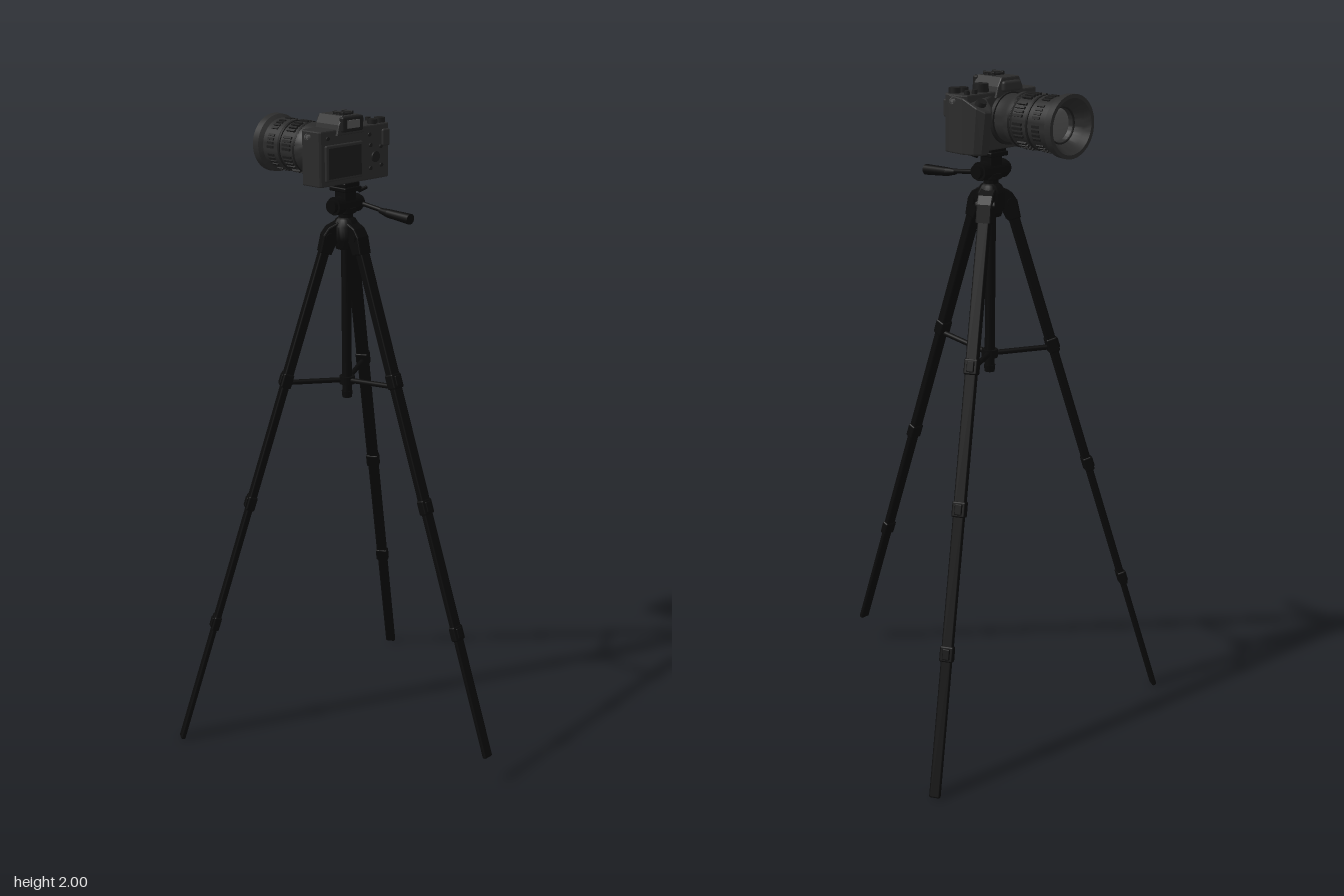
import * as THREE from 'three';
import { toCreasedNormals } from 'three/addons/utils/BufferGeometryUtils.js';
import { RoundedBoxGeometry } from 'three/addons/geometries/RoundedBoxGeometry.js';

const material = (color, side = THREE.FrontSide) => new THREE.MeshStandardMaterial({ color, side });
const black = material(0x0a0a0a);
const body = material(0x2b2b2b);
const dark = material(0x1c1c1c);
const glass = material(0x555555);
const AXIS = -0.15; // z of the centre column

function add(parent, name, geometry, mat, x = 0, y = 0, z = 0) {
  const mesh = new THREE.Mesh(geometry, mat);
  mesh.name = name;
  mesh.position.set(x, y, z);
  parent.add(mesh);
  return mesh;
}
const rounded = (w, h, d, r = 0.004) => new RoundedBoxGeometry(w, h, d, 2, r);
const cylinder = (r1, r2, h, n = 24) => new THREE.CylinderGeometry(r1, r2, h, n);
const points = list => list.map(([x, y]) => new THREE.Vector2(x, y));
const lathe = (list, n = 32) => toCreasedNormals(new THREE.LatheGeometry(points(list), n), 0.6);
const extrude = (list, depth, bevel = 0.004) => new THREE.ExtrudeGeometry(new THREE.Shape(points(list)), {
  depth: depth - 2 * bevel, bevelSize: bevel, bevelOffset: -bevel, bevelThickness: bevel, bevelSegments: 2,
}).translate(0, 0, bevel);
// Plan outline given as (x, -z), raised upwards
const plan = (list, height) => extrude(list, height).rotateX(-Math.PI / 2);

// A bar between two points
function bar(parent, name, a, b, r1, r2, mat) {
  const from = new THREE.Vector3(...a), to = new THREE.Vector3(...b);
  const mesh = add(parent, name, cylinder(r2, r1, from.distanceTo(to), 14), mat);
  mesh.position.copy(from).add(to).multiplyScalar(0.5);
  mesh.quaternion.setFromUnitVectors(new THREE.Vector3(0, 1, 0), to.sub(from).normalize());
}

// One leg with its hinge arm and brace, built towards +z then turned round the column
function makeLeg(name, turn, slope, length) {
  const side = new THREE.Group();
  side.name = name;
  side.rotation.y = turn;
  const arm = extrude([[0, 1.675], [0.03, 1.672], [0.058, 1.658], [0.074, 1.635], [0.085, 1.585],
    [0.05, 1.575], [0.034, 1.61], [0, 1.62]], 0.046).translate(0, 0, -0.023).rotateY(-Math.PI / 2);
  add(side, 'hingeArm', arm, black);
  const pin = add(side, 'hingePin', cylinder(0.012, 0.012, 0.056, 16), black, 0, 1.63, 0.054);
  pin.rotation.z = Math.PI / 2;

  const leg = new THREE.Group();
  leg.name = 'telescopicLeg';
  leg.position.set(0, 1.63, 0.054);
  leg.rotation.x = -Math.atan(slope);
  side.add(leg);
  const stops = [0, 0.27, 0.51, 0.755, 1].map(t => t * length);
  const depths = [0.028, 0.023, 0.019, 0.015];
  depths.forEach((d, i) => {
    const h = stops[i + 1] - stops[i];
    add(leg, 'legSection' + (i + 1), rounded(0.036 - i * 0.001, h, d, 0.005), black, 0, -stops[i] - h / 2, 0);
    if (i < 3) {
      add(leg, 'legClamp' + (i + 1), rounded(0.041, 0.046, d + 0.005, 0.005), black, 0, -stops[i + 1], 0);
      add(leg, 'clampLever' + (i + 1), rounded(0.022, 0.032, 0.008, 0.003), black, 0, -stops[i + 1], d / 2 + 0.003);
    }
  });
  // Brace from the column to the upper clamp
  const y = turn === 0 ? 1.197 : 1.182;
  bar(side, 'brace', [0, 1.176, 0.015], [0, y, 0.054 + (1.63 - y) * slope], 0.008, 0.008, black);
  return side;
}

function makeTripod() {
  const tripod = new THREE.Group();
  tripod.name = 'tripod';
  tripod.position.z = AXIS;
  tripod.add(makeLeg('rearLeg', 0, 0.359, 1.636));
  tripod.add(makeLeg('leftLeg', Math.PI * 2 / 3, 0.313, 1.706));
  tripod.add(makeLeg('rightLeg', -Math.PI * 2 / 3, 0.313, 1.706));
  add(tripod, 'centreColumn', cylinder(0.015, 0.015, 0.54), black, 0, 1.39, 0);
  add(tripod, 'columnFoot', cylinder(0.017, 0.015, 0.02), black, 0, 1.13, 0);
  add(tripod, 'braceHub', cylinder(0.024, 0.024, 0.024), black, 0, 1.176, 0);
  add(tripod, 'crown', lathe([[0, 1.59], [0.03, 1.59], [0.042, 1.62], [0.042, 1.66], [0.03, 1.68],
    [0.022, 1.685], [0.022, 1.695], [0.032, 1.7], [0.032, 1.715], [0, 1.715]]), black);

  // Pan head, quick release plate and handle
  add(tripod, 'tiltBarrel', cylinder(0.027, 0.027, 0.1), black, 0, 1.723, 0).rotation.z = Math.PI / 2;
  for (const s of [-1, 1])
    add(tripod, 'barrelCap', cylinder(0.02, 0.02, 0.012), black, s * 0.056, 1.723, 0).rotation.z = Math.PI / 2;
  add(tripod, 'headNeck', rounded(0.046, 0.04, 0.046), black, 0, 1.752, 0);
  add(tripod, 'plateBase', rounded(0.07, 0.014, 0.07), black, 0, 1.771, 0);
  add(tripod, 'releasePlate', rounded(0.062, 0.014, 0.06), black, 0, 1.784, 0);
  bar(tripod, 'plateLever', [0.03, 1.762, 0.025], [0.055, 1.772, 0.035], 0.006, 0.005, black);
  bar(tripod, 'handleRod', [0.05, 1.723, 0], [0.05, 1.708, 0.13], 0.007, 0.007, black);
  bar(tripod, 'handleNeck', [0.05, 1.71, 0.095], [0.05, 1.706, 0.13], 0.008, 0.013, black);
  bar(tripod, 'handleGrip', [0.05, 1.706, 0.13], [0.05, 1.701, 0.219], 0.013, 0.016, black);
  return tripod;
}

function makeLens() {
  const lens = new THREE.Group();
  lens.name = 'lens';
  lens.position.set(-0.012, 1.877, -0.2);
  lens.rotation.x = -Math.PI / 2; // local +y points forward along the lens
  const ring = (name, r, y, h, mat = dark) => add(lens, name, cylinder(r, r, h, 48), mat, 0, y, 0);
  // Barrel with a recessed front
  add(lens, 'lensBarrel', lathe([[0, 0], [0.068, 0], [0.068, 0.045], [0.077, 0.065], [0.077, 0.085], [0.073, 0.088],
    [0.073, 0.15], [0.076, 0.153], [0.076, 0.215], [0.087, 0.225], [0.088, 0.248], [0.077, 0.248],
    [0.066, 0.23], [0.05, 0.205], [0.046, 0.19], [0, 0.19]], 48), body);
  ring('apertureRing', 0.0775, 0.08, 0.008);
  ring('spacerRing', 0.0765, 0.146, 0.006);
  // Groups of ribs on the zoom and focus rings
  for (const [y, h] of [[0.112, 0.034], [0.182, 0.026]]) {
    for (let i = 0; i < 40; i++) {
      if (i % 5 === 4) continue;
      const a = i / 40 * Math.PI * 2;
      add(lens, 'gripRib', new THREE.BoxGeometry(0.007, h, 0.006), dark,
        Math.sin(a) * 0.0765, y, Math.cos(a) * 0.0765).rotation.y = a;
    }
  }
  const dome = new THREE.SphereGeometry(0.046, 32, 8, 0, Math.PI * 2, 0, Math.PI / 2).scale(1, 0.3, 1);
  add(lens, 'frontElement', dome, glass, 0, 0.19, 0);
  add(lens, 'innerRing', new THREE.TorusGeometry(0.05, 0.003, 8, 40).rotateX(Math.PI / 2), dark, 0, 0.207, 0);
  return lens;
}

function makeCamera() {
  const camera = new THREE.Group();
  camera.name = 'camera';
  add(camera, 'cameraBody', plan([[-0.13, 0.125], [-0.125, 0.12], [0.15, 0.12], [0.158, 0.128], [0.158, 0.195],
    [0.148, 0.205], [-0.12, 0.205], [-0.13, 0.195]], 0.162), body, 0, 1.79, 0);
  // Hand grip, its top falling towards the front
  const grip = plan([[0.05, 0.13], [0.15, 0.13], [0.16, 0.145], [0.161, 0.2], [0.15, 0.242], [0.135, 0.262],
    [0.115, 0.266], [0.097, 0.25], [0.082, 0.215], [0.05, 0.205]], 0.16);
  const p = grip.attributes.position;
  for (let i = 0; i < p.count; i++) {
    const forward = Math.max(0, -p.getZ(i) - 0.19);
    if (p.getY(i) > 0.08) p.setY(i, p.getY(i) - forward * 0.55);
    else p.setZ(i, p.getZ(i) + forward * 0.2);
  }
  grip.computeVertexNormals();
  add(camera, 'handGrip', grip, body, 0, 1.79, 0);

  // Viewfinder hump, tapered upwards, with hot shoe and eyecup
  const hump = extrude([[-0.068, 1.935], [0.044, 1.935], [0.036, 1.965], [0.022, 1.99], [-0.046, 1.99], [-0.06, 1.965]], 0.1);
  add(camera, 'viewfinderHump', hump, body, 0, 0, -0.212);
  add(camera, 'humpNose', rounded(0.07, 0.03, 0.03, 0.008), body, -0.012, 1.965, -0.208);
  add(camera, 'hotShoe', rounded(0.042, 0.006, 0.045, 0.002), dark, -0.012, 1.993, -0.145);
  for (const s of [-1, 1])
    add(camera, 'shoeRail', rounded(0.007, 0.006, 0.045, 0.002), dark, -0.012 + s * 0.018, 1.997, -0.145);
  add(camera, 'eyecup', rounded(0.084, 0.045, 0.018, 0.006), dark, -0.012, 1.966, -0.111);
  add(camera, 'eyepiece', rounded(0.05, 0.024, 0.004, 0.001), glass, -0.012, 1.966, -0.102);
  add(camera, 'lensMount', cylinder(0.074, 0.074, 0.02, 40), dark, -0.012, 1.875, -0.207).rotation.x = Math.PI / 2;

  // Top dials and buttons: radius, height, x, z
  for (const [r, h, x, z] of [[0.023, 0.022, 0.068, -0.175], [0.017, 0.014, 0.137, -0.143], [0.016, 0.012, 0.103, -0.14],
    [0.008, 0.01, 0.108, -0.192], [0.008, 0.01, 0.137, -0.192]])
    add(camera, 'topDial', cylinder(r * 0.95, r, h + 0.01), dark, x, 1.948 + h / 2, z);
  const shutter = add(camera, 'shutterButton', cylinder(0.014, 0.016, 0.016), dark, 0.118, 1.93, -0.228);
  shutter.rotation.x = -0.5;

  // Rear screen, control wheel, buttons and thumb rest
  add(camera, 'rearScreen', rounded(0.15, 0.105, 0.012), body, -0.037, 1.858, -0.118);
  add(camera, 'screenGlass', rounded(0.134, 0.09, 0.004, 0.001), dark, -0.037, 1.858, -0.1125);
  add(camera, 'controlWheel', cylinder(0.016, 0.016, 0.008), dark, 0.095, 1.857, -0.119).rotation.x = Math.PI / 2;
  for (const [x, y] of [[0.075, 1.893], [0.118, 1.885], [0.12, 1.83], [0.075, 1.825], [0.07, 1.925], [-0.1, 1.93]])
    add(camera, 'rearButton', cylinder(0.006, 0.006, 0.006, 14), dark, x, y, -0.119).rotation.x = Math.PI / 2;
  add(camera, 'thumbRest', rounded(0.03, 0.05, 0.014, 0.005), body, 0.138, 1.91, -0.12);

  // Strap lugs
  for (const [x, s] of [[-0.13, -1], [0.158, 1]]) {
    bar(camera, 'lugPost', [x, 1.935, -0.165], [x + s * 0.01, 1.935, -0.165], 0.006, 0.005, glass);
    add(camera, 'lugRing', new THREE.TorusGeometry(0.008, 0.0015, 6, 16), glass, x + s * 0.01, 1.935, -0.165);
  }
  camera.add(makeLens());
  return camera;
}

export function createModel() {
  const model = new THREE.Group();
  model.name = 'cameraOnTripod';
  model.add(makeTripod(), makeCamera());
  return model;
}
